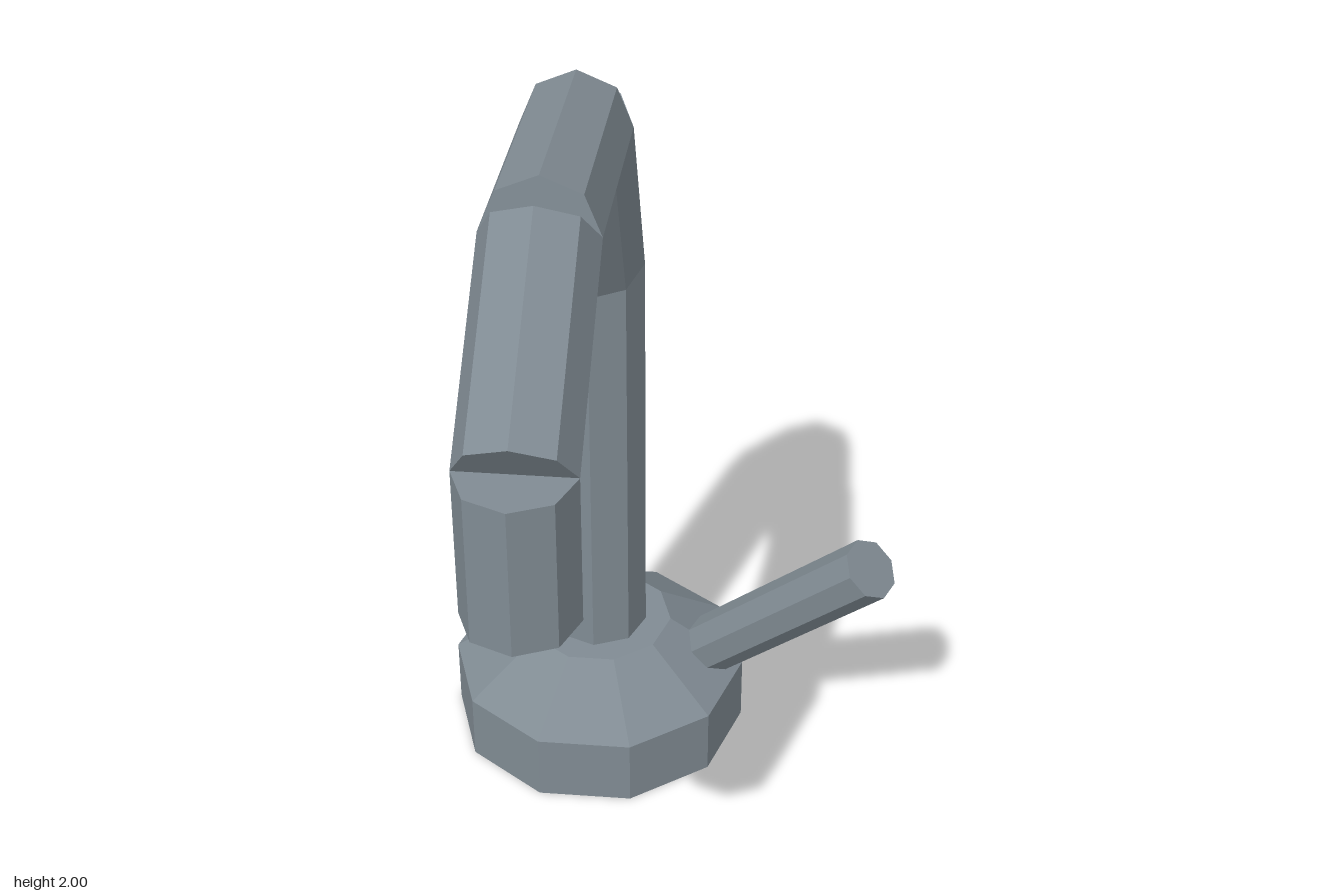
import * as THREE from 'three';

const BASE_X = -0.185;
const BASE_Z = -0.488;

export function createModel() {
  const group = new THREE.Group();
  const metal = new THREE.MeshStandardMaterial({ color: 0x808b93, flatShading: true });
  metal.name = 'brushed metal';

  const add = (geometry, name) => {
    const mesh = new THREE.Mesh(geometry, metal);
    mesh.name = name;
    group.add(mesh);
    return mesh;
  };

  // Straight eight-sided rod between two points
  const rod = (a, b, radius, name) => {
    const dir = b.clone().sub(a);
    const mesh = add(new THREE.CylinderGeometry(radius, radius, dir.length(), 8), name);
    mesh.position.copy(a).add(b).multiplyScalar(0.5);
    mesh.quaternion.setFromUnitVectors(new THREE.Vector3(0, 1, 0), dir.normalize());
    return mesh;
  };

  // Ten-sided base with a sloping shoulder
  const profile = [[0, 0], [0.368, 0], [0.368, 0.172], [0.183, 0.302], [0, 0.302]]
    .map(([r, y]) => new THREE.Vector2(r, y));
  const base = add(new THREE.LatheGeometry(profile, 10, Math.PI / 2), 'base');
  base.position.set(BASE_X, 0, BASE_Z);

  // Spout: separate rods that follow a bent path, leaving open wedges at the joints
  const path = [
    [0.28, -0.485], [1.345, -0.485], [1.816, -0.25],
    [1.882, 0.319], [1.613, 0.72], [1.28, 0.72],
  ].map(([y, z]) => new THREE.Vector3(BASE_X, y, z));
  const names = ['riser', 'spoutBack', 'spoutTop', 'spoutFront', 'nozzle'];
  names.forEach((name, i) => rod(path[i], path[i + 1], 0.12, name));

  // Slanted lever on the left side
  rod(new THREE.Vector3(0.105, 0.236, -0.48), new THREE.Vector3(0.49, 0.679, -0.257), 0.075, 'lever');

  return group;
}
